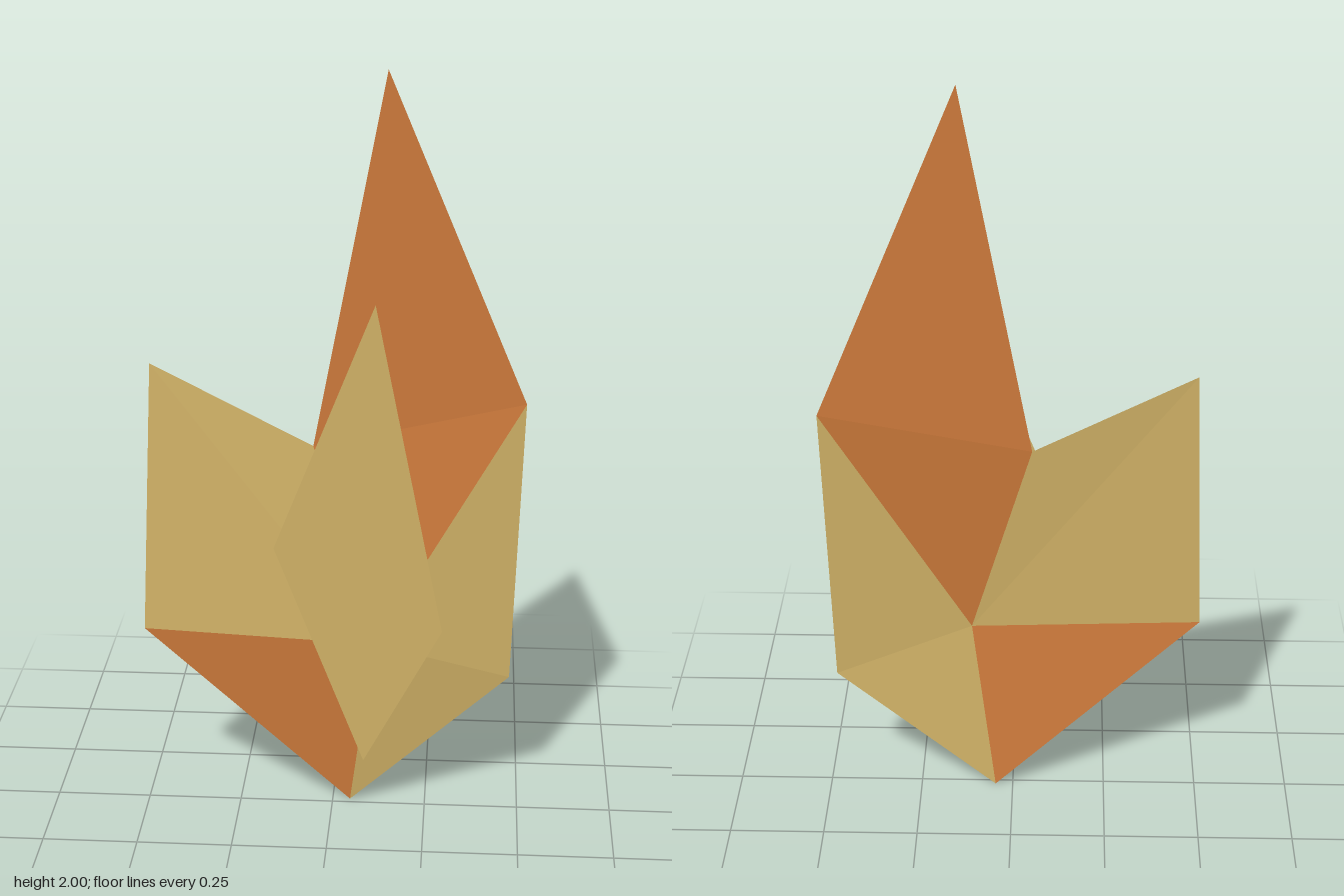
import * as THREE from 'three';

const flat = (name, color) => {
  const m = new THREE.MeshStandardMaterial({ color, side: THREE.DoubleSide, flatShading: true });
  m.name = name;
  return m;
};

// Flat facet: a fan of triangles from the first corner, counterclockwise from the front
function facet(name, material, corners) {
  const points = [];
  for (let i = 1; i < corners.length - 1; i++) points.push(...corners[0], ...corners[i], ...corners[i + 1]);
  const geometry = new THREE.BufferGeometry();
  geometry.setAttribute('position', new THREE.Float32BufferAttribute(points, 3));
  geometry.computeVertexNormals();
  const mesh = new THREE.Mesh(geometry, material);
  mesh.name = name;
  return mesh;
}

export function createModel() {
  const orange = flat('orange', 0xd07c3c);
  const sand = flat('sand', 0xd3b468);

  // Shared corners of the folded leaf
  const hub = [0.11, 0.485, 0.02];
  const tip = [0.135, 2.0, -0.02];
  const notch = [-0.05, 1.027, -0.013];
  const rightTop = [0.495, 1.14, -0.048];
  const rightLow = [0.47, 0.37, -0.042];
  const base = [0.047, 0, -0.017];
  const leftLow = [-0.498, 0.51, 0.013];
  const leftTop = [-0.469, 1.242, -0.013];

  const model = new THREE.Group();
  model.name = 'foldedLeaf';
  model.add(
    facet('tallBlade', orange, [notch, hub, rightTop, tip]),
    facet('sideBladeLeft', sand, [hub, base, rightLow, rightTop]),
    facet('sideBladeRight', sand, [hub, notch, leftTop, leftLow]),
    facet('lowerBlade', orange, [hub, leftLow, base]),
    // Separate upright blade standing just in front
    facet('frontBlade', sand, [
      [0.11, 1.422, 0.035], [-0.15, 0.765, 0.05], [0.085, 0.148, 0.036], [0.29, 0.528, 0.025],
    ]),
  );
  return model;
}
